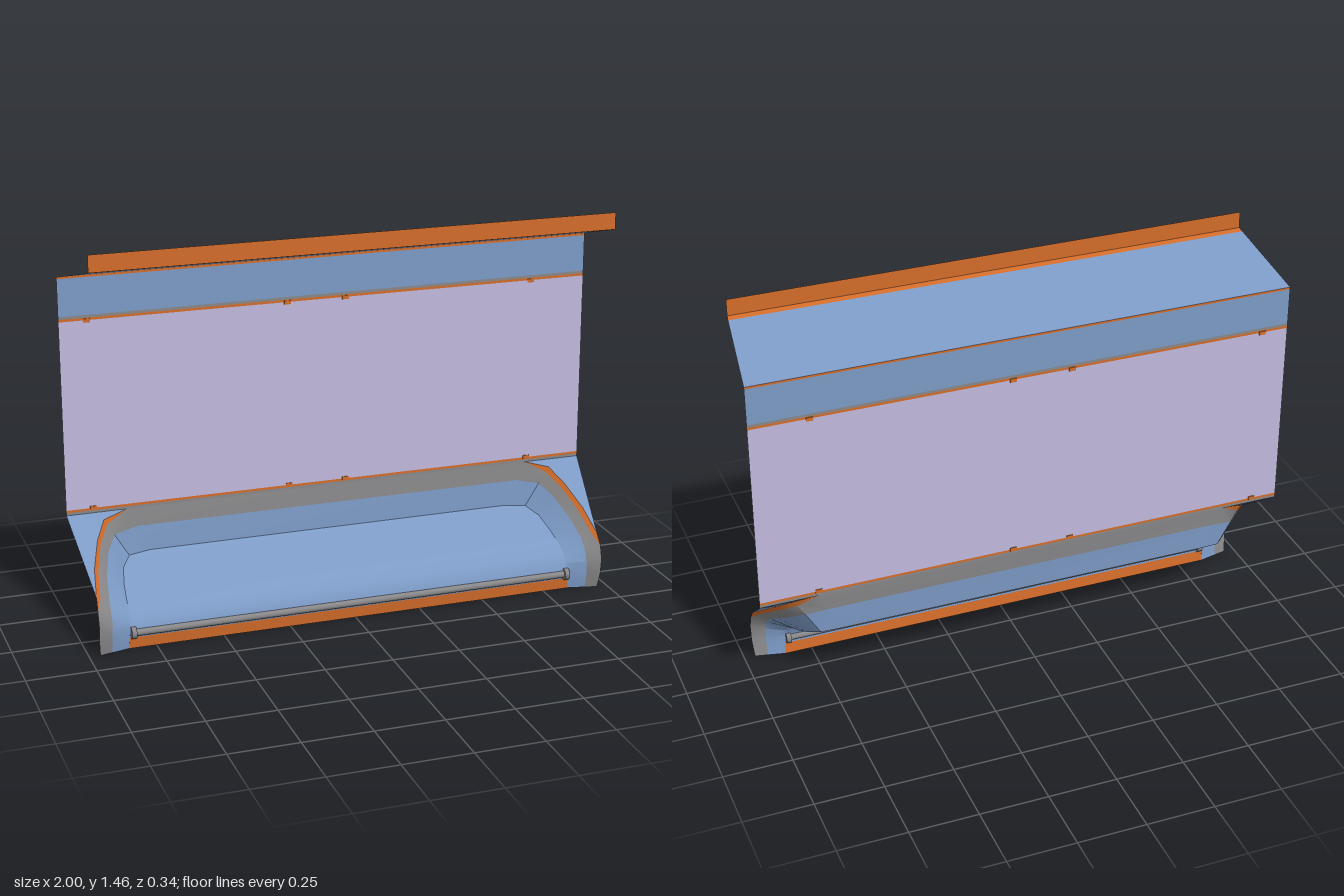
import * as THREE from 'three';
import { toCreasedNormals } from 'three/addons/utils/BufferGeometryUtils.js';

const mat = (name, color) => new THREE.MeshStandardMaterial({ name, color, side: THREE.DoubleSide });

// Surface between successive rows of equally many [x, y, z] points
function loft(rows) {
  const n = rows[0].length, index = [];
  for (let r = 0; r < rows.length - 1; r++) {
    for (let i = 0; i < n - 1; i++) {
      const a = r * n + i, b = a + 1, c = a + n, d = c + 1;
      index.push(a, b, d, a, d, c);
    }
  }
  const g = new THREE.BufferGeometry();
  g.setAttribute('position', new THREE.Float32BufferAttribute(rows.flat(2), 3));
  g.setIndex(index);
  return toCreasedNormals(g, 0.6);
}

// Flat strip across the model from edge A to edge B, each [halfWidth, y, z]
const across = (...edges) => loft(edges.map(([x, y, z]) => [[-x, y, z], [x, y, z]]));

const mirror = (half) => [...half, ...half.slice().reverse().map(([x, y, z]) => [-x, y, z])];
const mix = (a, b, t) => a.map((p, i) => p.map((v, k) => v + (b[i][k] - v) * t));

export function createModel() {
  const blue = mat('blue panel', 0x7c9ac5);
  const lavender = mat('lavender glazing', 0xc0b8dc);
  const orange = mat('orange trim', 0xd26c2a);
  const gray = mat('gray trim', 0x88888a);

  const model = new THREE.Group();
  model.name = 'wallSegment';
  const add = (name, geometry, material, parent = model) => {
    const m = new THREE.Mesh(geometry, material);
    m.name = name;
    parent.add(m);
    return m;
  };

  // Upright wall, stacked in coloured bands
  const wallZ = -0.17;
  const bands = [
    ['lowerGrayTrim', 0.422, 0.432, gray],
    ['lowerOrangeTrim', 0.432, 0.441, orange],
    ['glazing', 0.441, 1.139, lavender],
    ['upperOrangeTrim', 1.139, 1.148, orange],
    ['upperGrayTrim', 1.148, 1.158, gray],
    ['upperWall', 1.158, 1.294, blue],
    ['wallTopTrim', 1.294, 1.302, orange],
  ];
  for (const [name, y0, y1, m] of bands) add(name, across([1, y0, wallZ], [1, y1, wallZ]), m);

  // Small clips along both glazing trims
  for (const x of [-0.9, -0.165, 0.055, 0.785]) {
    for (const y of [0.442, 1.138]) {
      add('trimClip', new THREE.BoxGeometry(0.025, 0.014, 0.006), orange).position.set(x, y, wallZ);
    }
  }

  // Sloping roof with trim and upright fascia
  add('roof', across([1, 1.302, wallZ], [0.963, 1.388, 0.145]), blue);
  add('roofTrim', across([0.963, 1.388, 0.145], [0.96, 1.394, 0.166]), orange);
  add('fascia', across([0.96, 1.394, 0.166], [0.96, 1.456, 0.166]), orange);

  // Recessed tray: outer rim and inner rim of the surround
  const outer = [
    [0.96, 0, 0.13], [0.965, 0.06, 0.145], [0.965, 0.12, 0.152], [0.965, 0.17, 0.137], [0.962, 0.21, 0.11],
    [0.945, 0.28, 0.014], [0.91, 0.35, -0.08], [0.87, 0.4, -0.145], [0.78, 0.423, -0.168],
  ];
  const inner = [
    [0.85, 0, 0.105], [0.845, 0.075, 0.113], [0.84, 0.1, 0.105], [0.84, 0.13, 0.08], [0.838, 0.16, 0.035],
    [0.83, 0.19, -0.03], [0.815, 0.225, -0.1], [0.78, 0.25, -0.15], [0.7, 0.257, -0.162],
  ];
  const tray = new THREE.Group();
  tray.name = 'tray';
  model.add(tray);

  // Thin orange edge that widens only around the corner
  const edge = mix(outer, inner, 0.13).map((p, i) => (i >= 4 && i <= 7 ? p : outer[i]));
  const middle = mix(outer, inner, 0.42);
  for (const s of [1, -1]) {
    const side = (pts) => pts.slice(3).map(([x, y, z]) => [s * x, y, z]);
    add('cornerEdge', loft([side(outer), side(edge)]), orange, tray);
    // Triangular web joining the wall corner to the rim
    const rim = side(outer).slice(1);
    add('cornerWeb', loft([rim.map(() => [s, 0.422, wallZ]), rim]), blue, tray);
  }
  add('surroundRim', loft([mirror(edge), mirror(middle)]), gray, tray);
  add('surroundSlope', loft([mirror(middle), mirror(inner)]), blue, tray);
  add('trayFloor', across(...inner.slice(1)), blue, tray);
  add('trayLip', across([0.847, 0.043, 0.11], inner[1]), blue, tray);
  add('bottomTrim', across(inner[0], [0.847, 0.043, 0.11]), orange, tray);

  // Rail along the tray front with end collars
  const rail = new THREE.Group();
  rail.name = 'rail';
  rail.position.set(0, 0.063, 0.115);
  tray.add(rail);
  add('railBar', new THREE.CylinderGeometry(0.013, 0.013, 1.66, 10).rotateZ(Math.PI / 2), gray, rail);
  for (const s of [1, -1]) {
    add('railCollar', new THREE.CylinderGeometry(0.022, 0.022, 0.018, 10).rotateZ(Math.PI / 2), gray, rail)
      .position.x = s * 0.835;
  }
  return model;
}
